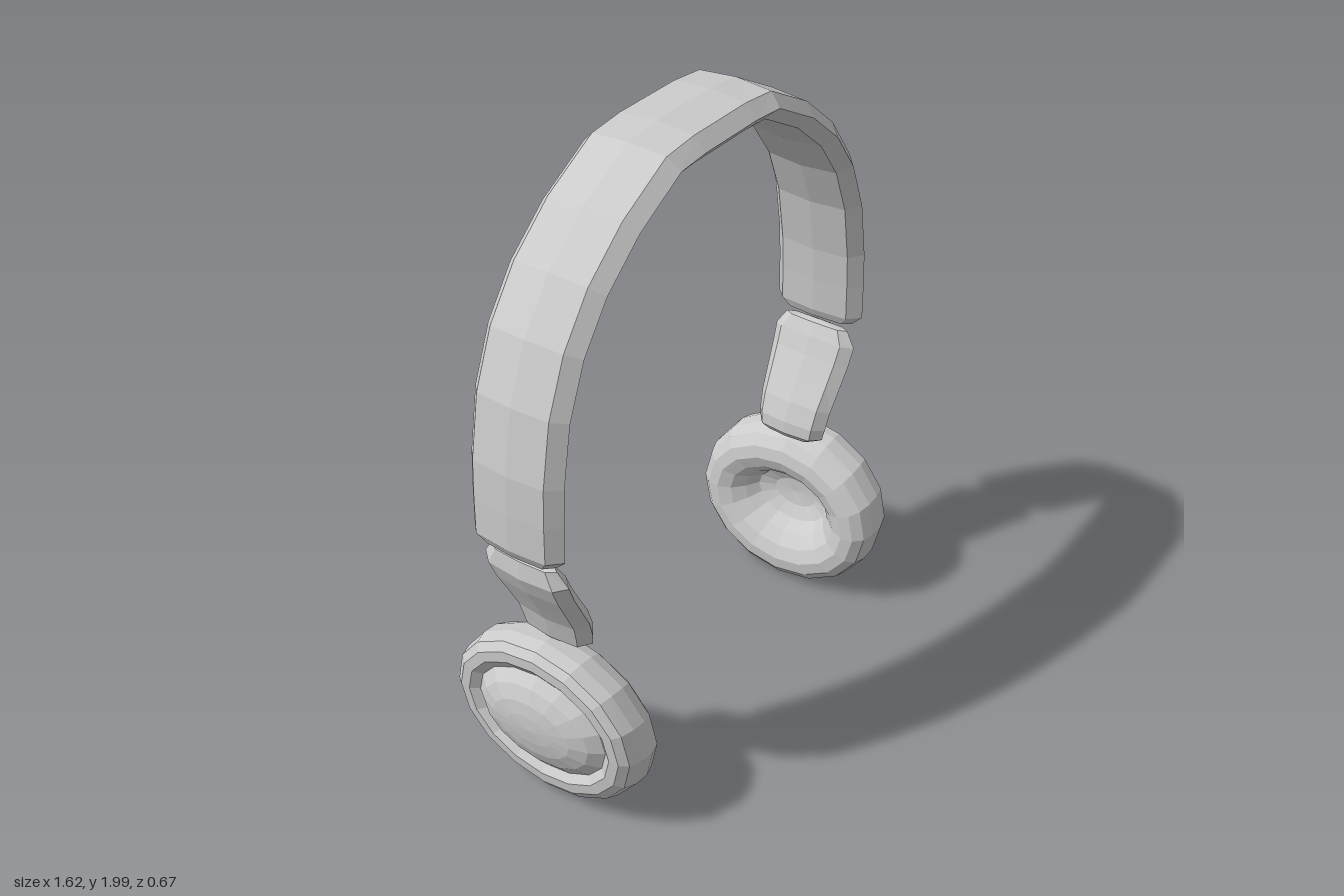
import * as THREE from 'three';

const material = new THREE.MeshStandardMaterial({ color: 0xcccccc, flatShading: true });

// Closed skin through equal rings of points, with a fan to a centre point at each end.
function skin(rings, startPoint, endPoint) {
  const n = rings[0].length, last = (rings.length - 1) * n;
  const points = [...rings.flat(), startPoint, endPoint];
  const start = points.length - 2, end = points.length - 1;
  const index = [];
  for (let j = 0; j < n; j++) {
    const k = (j + 1) % n;
    for (let i = 0; i < last; i += n) {
      index.push(i + j, i + n + j, i + n + k, i + j, i + n + k, i + k);
    }
    index.push(start, j, k, end, last + k, last + j);
  }
  const geometry = new THREE.BufferGeometry().setFromPoints(points);
  geometry.setIndex(index);
  geometry.computeVertexNormals();
  return geometry;
}

// Bevelled strap section as [thickness, width] factors.
const section = [[0, 1], [0.8, 0.76], [1, 0], [0.8, -0.76], [0, -1], [-0.8, -0.76], [-1, 0], [-0.8, 0.76]];

// Sweep the section along stations [x, y, half thickness, half width].
function strap(stations) {
  const at = (i) => stations[Math.min(Math.max(i, 0), stations.length - 1)];
  const rings = stations.map(([x, y, t, w], i) => {
    const a = at(i - 1), b = at(i + 1);
    const d = new THREE.Vector2(b[0] - a[0], b[1] - a[1]).normalize();
    return section.map(([u, v]) => new THREE.Vector3(x - d.y * u * t, y + d.x * u * t, v * w));
  });
  // Ends bulge slightly beyond the last ring.
  const tip = (p, q) => {
    const d = new THREE.Vector3(p[0] - q[0], p[1] - q[1], 0).setLength(0.008);
    return d.add(new THREE.Vector3(p[0], p[1], 0));
  };
  return skin(rings, tip(at(0), at(1)), tip(at(99), at(stations.length - 2)));
}

// Headband: one half of the arch, mirrored to the other side.
function headband() {
  const half = [
    [-0.757, 0.972, 0.032, 0.125], [-0.76, 1.005, 0.048, 0.158], [-0.757, 1.12, 0.049, 0.158],
    [-0.75, 1.24, 0.05, 0.158], [-0.716, 1.43, 0.05, 0.158], [-0.65, 1.59, 0.05, 0.158],
    [-0.55, 1.725, 0.05, 0.158], [-0.41, 1.842, 0.05, 0.158], [-0.23, 1.941, 0.049, 0.158],
    [-0.12, 1.95, 0.05, 0.158],
  ];
  const other = half.map(([x, ...rest]) => [-x, ...rest]).reverse();
  return strap([...half, [0, 1.95, 0.05, 0.158], ...other]);
}

// Bent arm between headband and ear cup.
function arm() {
  return strap([
    [0.746, 0.945, 0.022, 0.115], [0.737, 0.895, 0.039, 0.148], [0.712, 0.835, 0.04, 0.144],
    [0.675, 0.765, 0.041, 0.138], [0.635, 0.69, 0.044, 0.131], [0.616, 0.63, 0.048, 0.126],
    [0.611, 0.595, 0.045, 0.12], [0.61, 0.578, 0.03, 0.09],
  ]);
}

// Ear cup: oval rings [depth towards the head, radius], from outer dome to inner hollow.
function earCup() {
  const profile = [
    [-0.128, 0.08], [-0.12, 0.14], [-0.1, 0.195], [-0.07, 0.235],
    [-0.09, 0.262], [-0.088, 0.295], [-0.068, 0.32], [-0.025, 0.333],
    [0.025, 0.333], [0.065, 0.32], [0.09, 0.29], [0.096, 0.25],
    [0.08, 0.205], [0.045, 0.165], [0.005, 0.135], [-0.015, 0.08],
  ];
  // Lean the cup so its top sits further out and its rim slopes inwards.
  const place = (u, y, z) => new THREE.Vector3(0.643 - u + 0.04 * y, 0.297 + y - 0.13 * u, z);
  const rings = profile.map(([u, r]) => Array.from({ length: 16 }, (_, j) => {
    const a = (j / 16) * Math.PI * 2;
    return place(u, r * (0.55 + 0.95 * r) * Math.cos(a), r * Math.sin(a));
  }));
  return skin(rings, place(-0.132, 0, 0), place(-0.02, 0, 0));
}

export function createModel() {
  const model = new THREE.Group();
  model.name = 'headphones';
  const add = (parent, name, geometry) => {
    const mesh = new THREE.Mesh(geometry, material);
    mesh.name = name;
    parent.add(mesh);
  };
  add(model, 'headband', headband());

  // Each side is symmetric front to back, so a half turn gives its mirror.
  for (const side of ['left', 'right']) {
    const group = new THREE.Group();
    group.name = side + 'Side';
    add(group, side + 'Arm', arm());
    add(group, side + 'EarCup', earCup());
    if (side === 'right') group.rotation.y = Math.PI;
    model.add(group);
  }
  return model;
}
